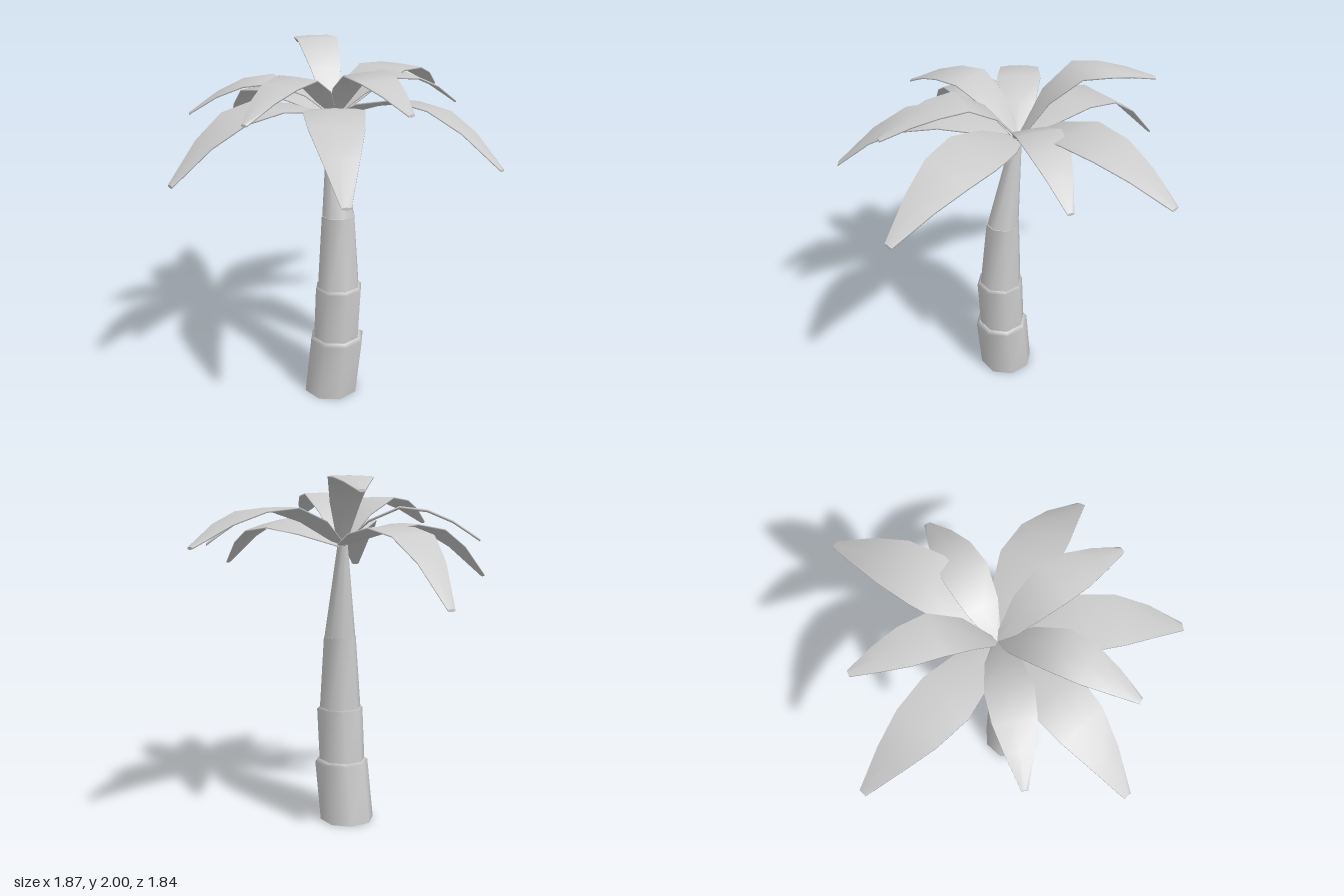
import * as THREE from 'three';

const material = new THREE.MeshStandardMaterial({ color: 0xcccccc });

// Skin a list of closed rings (arrays of Vector3), smooth along the sides, with flat end caps
function loft(rings) {
  const n = rings[0].length, pos = [], idx = [];
  const add = (p) => pos.push(p.x, p.y, p.z) / 3 - 1;
  rings.forEach((ring) => ring.forEach(add));
  for (let r = 0; r < rings.length - 1; r++) {
    for (let i = 0; i < n; i++) {
      const a = r * n + i, b = r * n + (i + 1) % n;
      idx.push(a, a + n, b, b, a + n, b + n);
    }
  }
  const cap = (ring, flip) => {
    const first = pos.length / 3;
    ring.forEach(add);
    for (let i = 1; i < n - 1; i++) {
      idx.push(first, first + (flip ? i + 1 : i), first + (flip ? i : i + 1));
    }
  };
  cap(rings[0], false);
  cap(rings[rings.length - 1], true);
  const geo = new THREE.BufferGeometry();
  geo.setAttribute('position', new THREE.Float32BufferAttribute(pos, 3));
  geo.setIndex(idx);
  geo.computeVertexNormals();
  return geo;
}

// Trunk sections, each a list of rings: [y, centre x, centre z, radius]
const TRUNK = [
  [[0, -0.02, 0.14, 0.159], [0.35, 0.021, 0.14, 0.158], [0.367, 0.022, 0.14, 0.135]],
  [[0.3, 0.013, 0.14, 0.135], [0.67, 0.033, 0.14, 0.136], [0.685, 0.033, 0.14, 0.115]],
  [[0.62, 0.03, 0.14, 0.125], [1.1, 0.02, 0.12, 0.094]],
  [[1.09, 0.02, 0.12, 0.092], [1.64, -0.04, 0.06, 0.028]],
];

function trunkSection(rows) {
  const sides = 8;
  return loft(rows.map(([y, x, z, r]) => Array.from({ length: sides }, (_, i) => {
    const a = (i / sides) * Math.PI * 2;
    return new THREE.Vector3(x + r * Math.cos(a), y, z + r * Math.sin(a));
  })));
}

// Leaves: tip x, y, z, height of the arch, sideways roll, sideways bow
const LEAVES = [
  [0.17, 1.64, -0.92, 1.83, 0, 0.02],
  [0.45, 1.64, -0.52, 1.83, 0, 0],
  [0.93, 1.50, 0.18, 1.755, 0.22, -0.05],
  [0.57, 1.80, 0.48, 1.915, 0, 0],
  [0.44, 1.47, 0.90, 1.76, 0, 0.02],
  [-0.13, 1.75, 0.80, 1.89, 0, 0],
  [-0.50, 1.43, 0.90, 1.74, 0, 0],
  [-0.70, 1.66, 0.43, 1.835, 0, 0],
  [-0.93, 1.36, -0.33, 1.73, 0, -0.05],
  [-0.53, 1.91, -0.49, 1.99, 0, 0],
];
const BASE = new THREE.Vector3(-0.04, 1.63, 0.05);

// Stations along a leaf: [distance, half width, rise from base to arch, fall from arch to tip]
const STATIONS = [
  [0, 0.03, 0, 0], [0.2, 0.115, 0.65, 0], [0.42, 0.155, 1, 0],
  [0.62, 0.138, 1, 0.1], [0.8, 0.09, 1, 0.43], [1, 0.022, 1, 1],
];

function leaf([tx, ty, tz, peak, roll, bow]) {
  const dx = tx - BASE.x, dz = tz - BASE.z, length = Math.hypot(dx, dz);
  const sx = -dz / length, sz = dx / length;
  const rings = STATIONS.map(([f, half, rise, fall]) => {
    const y = BASE.y + (peak - BASE.y) * rise - (peak - ty) * fall;
    const w = half * length, shift = bow * Math.sin(Math.PI * f);
    const point = (across, up) => new THREE.Vector3(
      BASE.x + dx * f + sx * (shift + across * w),
      y + up + roll * across * w,
      BASE.z + dz * f + sz * (shift + across * w));
    // thin section, slightly thicker along the midrib
    return [point(1, 0.003), point(1, -0.005), point(0, -0.009),
      point(-1, -0.005), point(-1, 0.003), point(0, 0.007)];
  });
  return loft(rings.map((ring) => ring.reverse()));
}

export function createModel() {
  const model = new THREE.Group();
  model.name = 'palmTree';

  const part = (name, geometries) => {
    const group = new THREE.Group();
    group.name = name + 's';
    geometries.forEach((geometry, i) => {
      const mesh = new THREE.Mesh(geometry, material);
      mesh.name = name + (i + 1);
      group.add(mesh);
    });
    model.add(group);
  };

  part('trunkSection', TRUNK.map(trunkSection));
  part('leaf', LEAVES.map(leaf));
  return model;
}
